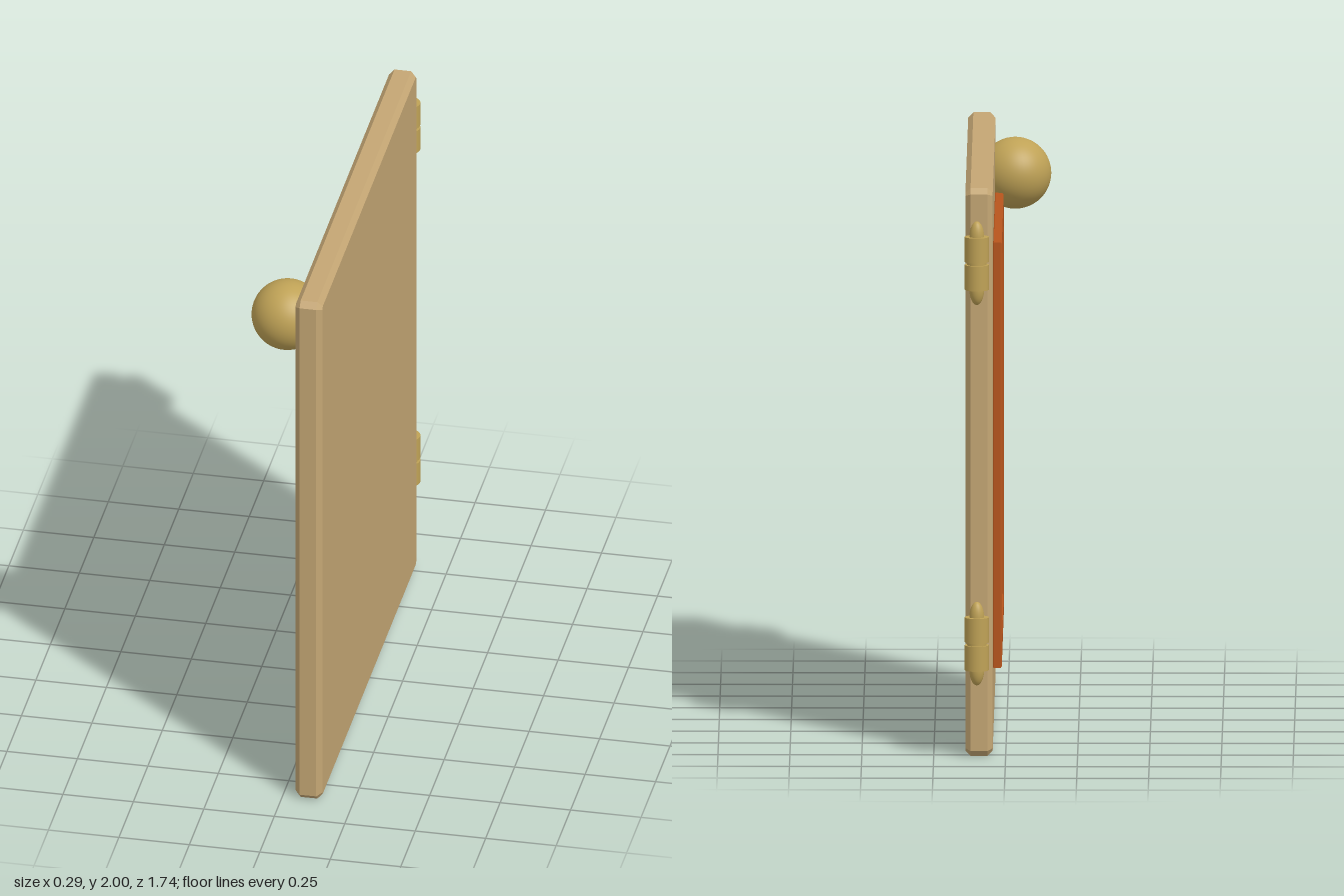
import * as THREE from 'three';

const mat = (name, color) => Object.assign(new THREE.MeshStandardMaterial({ color }), { name });

// Closed path in the (-z, y) plane, with corners cut by c
function outline(PathType, z0, z1, y0, y1, c) {
  const a = -z1, b = -z0;
  const pts = c
    ? [[a + c, y0], [b - c, y0], [b, y0 + c], [b, y1 - c], [b - c, y1], [a + c, y1], [a, y1 - c], [a, y0 + c]]
    : [[a, y0], [b, y0], [b, y1], [a, y1]];
  return new PathType(pts.map(([u, v]) => new THREE.Vector2(u, v)));
}

// Upright plate between x0 and x1 with chamfered edges
function plate(shape, x0, x1, bevel) {
  const g = new THREE.ExtrudeGeometry(shape, {
    depth: x1 - x0 - 2 * bevel, bevelEnabled: true, bevelThickness: bevel,
    bevelSize: bevel, bevelOffset: -bevel, bevelSegments: 1,
  });
  g.rotateY(Math.PI / 2);
  g.translate(x0 + bevel, 0, 0);
  return g;
}

export function createModel() {
  const model = new THREE.Group();
  model.name = 'cabinetDoor';
  const wood = mat('pale wood', 0xc4a674);
  const trim = mat('red brown trim', 0xb8551c);
  const brass = mat('brass', 0xbfa256);

  const add = (parent, name, geometry, material, x = 0, y = 0, z = 0) => {
    const mesh = new THREE.Mesh(geometry, material);
    mesh.name = name;
    mesh.position.set(x, y, z);
    parent.add(mesh);
    return mesh;
  };

  // Door panel
  add(model, 'doorPanel', plate(outline(THREE.Shape, -0.79, 0.87, 0, 2, 0.02), 0.045, 0.14, 0.018), wood);

  // Raised rectangular moulding on the outer face
  const frame = outline(THREE.Shape, -0.505, 0.66, 0.265, 1.765, 0);
  frame.holes.push(outline(THREE.Path, -0.42, 0.575, 0.35, 1.68, 0));
  add(model, 'moulding', plate(frame, 0.015, 0.048, 0.005), trim);

  // Round knob
  add(model, 'knob', new THREE.SphereGeometry(0.125, 48, 32), brass, -0.025, 1.82, 0.65);

  // Hinges: two knuckles on a pin with pointed oval ends
  for (const [name, y] of [['upperHinge', 1.745], ['lowerHinge', 0.405]]) {
    const hinge = new THREE.Group();
    hinge.name = name;
    hinge.position.set(0.1, y, -0.828);
    const knuckle = new THREE.CylinderGeometry(0.042, 0.042, 0.088, 32);
    add(hinge, 'pin', new THREE.CylinderGeometry(0.034, 0.034, 0.17, 24), brass);
    for (const s of [1, -1]) {
      add(hinge, 'knuckle', knuckle, brass, 0, s * 0.049, 0);
      add(hinge, 'finial', new THREE.SphereGeometry(0.026, 24, 16), brass, 0, s * 0.09, 0).scale.y = 2.2;
    }
    model.add(hinge);
  }
  return model;
}
